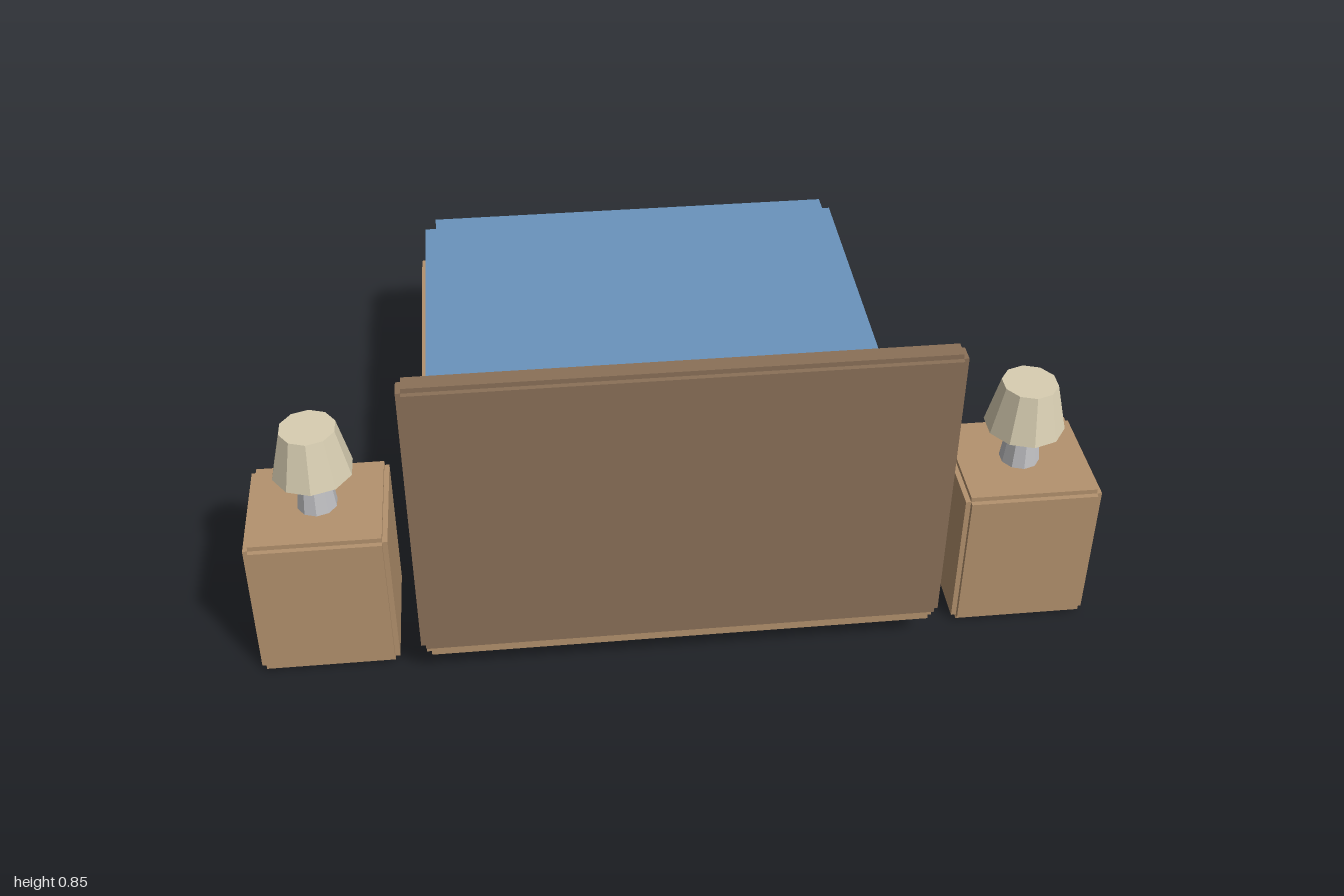
import * as THREE from 'three';

const mat = (name, color, flatShading = false) => {
  const m = new THREE.MeshStandardMaterial({ color, flatShading });
  m.name = name;
  return m;
};

// Box with stepped edges: three crossed boxes, each full length along one axis
function steppedBox(name, material, [x0, x1], [y0, y1], [z0, z1], step) {
  const group = new THREE.Group();
  group.name = name;
  const size = [x1 - x0, y1 - y0, z1 - z0];
  for (let axis = 0; axis < 3; axis++) {
    const dims = size.map((s, i) => (i === axis ? s : s - 2 * step));
    const mesh = new THREE.Mesh(new THREE.BoxGeometry(...dims), material);
    mesh.name = name + 'Block' + 'XYZ'[axis];
    group.add(mesh);
  }
  group.position.set((x0 + x1) / 2, (y0 + y1) / 2, (z0 + z1) / 2);
  return group;
}

function taper(name, material, rTop, rBottom, y0, y1) {
  const mesh = new THREE.Mesh(new THREE.CylinderGeometry(rTop, rBottom, y1 - y0, 10), material);
  mesh.name = name;
  mesh.position.y = (y0 + y1) / 2;
  return mesh;
}

export function createModel() {
  const wood = mat('oak', 0xb4926e);
  const darkWood = mat('walnut', 0x8a7058);
  const linen = mat('linen', 0xd6d4d0);
  const blue = mat('blueBlanket', 0x6a93bc);
  const metal = mat('lampMetal', 0xc2c2c5, true);
  const shade = mat('shadeFabric', 0xd8ceb2, true);

  const model = new THREE.Group();
  model.name = 'bedroomSet';

  // Bed
  model.add(
    steppedBox('bedFrame', wood, [-0.605, 0.605], [0.06, 0.277], [-0.715, 0.708], 0.012),
    steppedBox('headboard', darkWood, [-0.617, 0.617], [0.087, 0.853], [0.65, 0.715], 0.012),
    steppedBox('mattress', linen, [-0.57, 0.57], [0.26, 0.405], [-0.686, 0.653], 0.025),
    steppedBox('blanket', blue, [-0.585, 0.585], [0.312, 0.435], [-0.682, 0.319], 0.031)
  );

  for (const side of [-1, 1]) {
    const label = side > 0 ? 'left' : 'right';
    const span = (a, b) => (side > 0 ? [a, b] : [-b, -a]);

    // Pillow and nightstand
    model.add(
      steppedBox(label + 'Pillow', linen, span(0.07, 0.508), [0.4, 0.492], [0.337, 0.596], 0.023),
      steppedBox(label + 'Nightstand', wood, span(0.673, 1), [0, 0.388], [0.353, 0.655], 0.012)
    );

    // Table lamp
    const lamp = new THREE.Group();
    lamp.name = label + 'Lamp';
    lamp.add(
      taper('lampBase', metal, 0.036, 0.048, 0.386, 0.492),
      taper('lampShade', shade, 0.066, 0.095, 0.49, 0.612)
    );
    lamp.position.set(side * 0.836, 0, 0.504);
    model.add(lamp);
  }
  return model;
}
